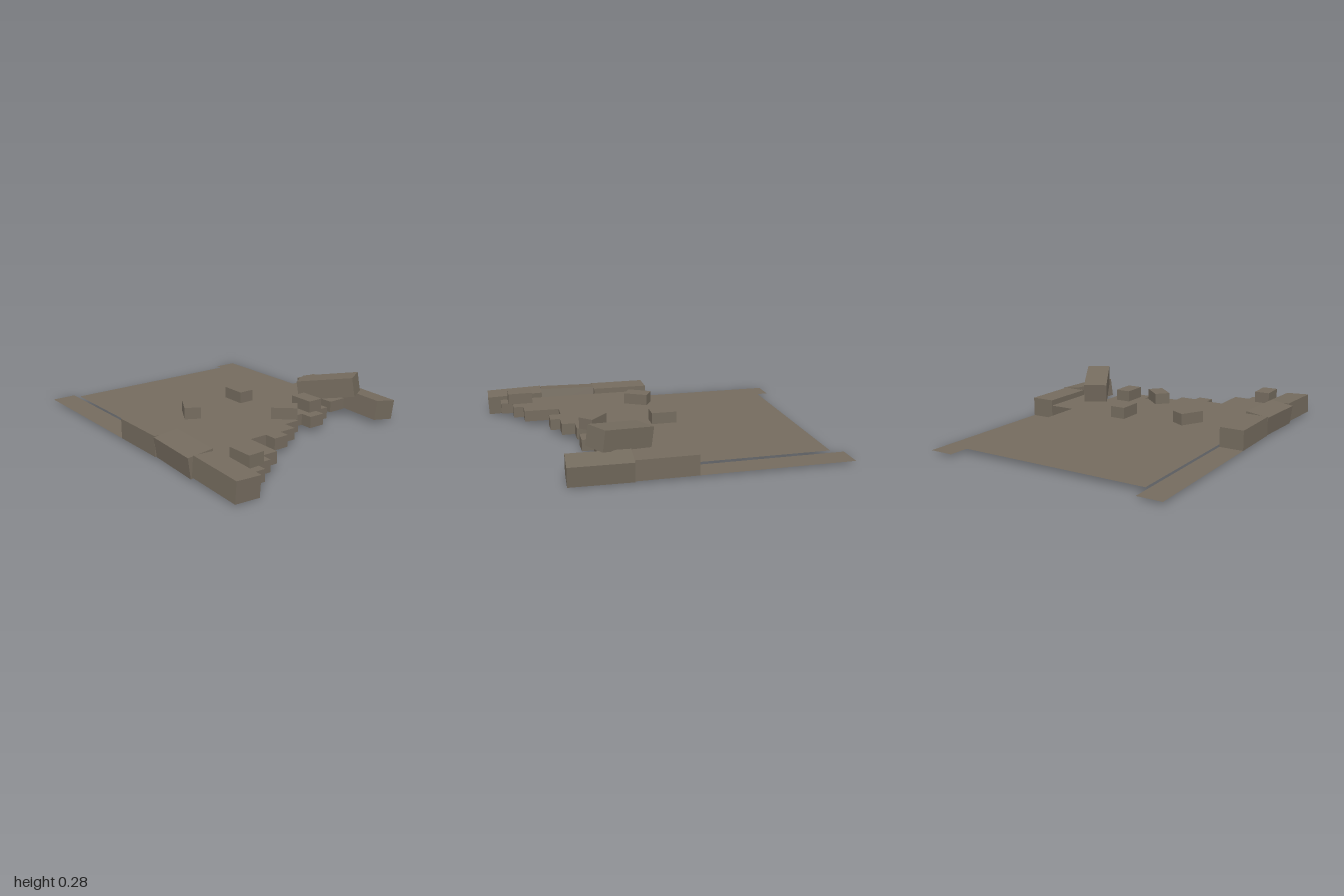
import * as THREE from 'three';

const stone = new THREE.MeshStandardMaterial({ color: 0x746b5e, side: THREE.DoubleSide });
stone.name = 'weathered stone';

const BREAK_X = -0.08; // where the thick ruined part begins

export function createModel() {
  const root = new THREE.Group();
  root.name = 'ruinedFloor';

  const add = (name, geometry, pos = [0, 0, 0], rot = [0, 0, 0]) => {
    const mesh = new THREE.Mesh(geometry, stone);
    mesh.name = name;
    mesh.position.set(...pos);
    mesh.rotation.set(...rot, 'YZX');
    root.add(mesh);
  };

  // Thin sheet lying flat between two x and two z limits
  const sheet = (name, x0, x1, z0, z1, y) =>
    add(name, new THREE.PlaneGeometry(x1 - x0, z1 - z0).rotateX(-Math.PI / 2),
      [(x0 + x1) / 2, y, (z0 + z1) / 2]);

  // Floor slab with a broken brick edge: [x of the edge, z where the row ends]
  const rows = [
    [0.92, 0.52], [0.845, 0.42], [0.78, 0.32], [0.56, 0.21], [0.635, 0.115], [0.575, 0.01],
    [0.495, -0.09], [0.42, -0.19], [0.495, -0.295], [0.425, -0.395], [0.26, -0.49], [0.36, -0.61],
  ];
  const outline = [new THREE.Vector2(BREAK_X, 0.61), new THREE.Vector2(BREAK_X, -0.61)];
  let z = 0.61;
  for (const [x, zEnd] of rows) {
    outline.push(new THREE.Vector2(x, -z), new THREE.Vector2(x, -zEnd));
    z = zEnd;
  }
  const slab = new THREE.ExtrudeGeometry(new THREE.Shape(outline), { depth: 0.07, bevelEnabled: false })
    .rotateX(-Math.PI / 2);
  // The slab is open on the side that meets the thin floor
  const normal = slab.attributes.normal;
  const keep = [];
  for (let i = 0; i < normal.count; i += 3) {
    if (normal.getX(i) > -0.9) keep.push(i, i + 1, i + 2);
  }
  slab.clearGroups();
  slab.setIndex(keep);
  add('brokenFloorSlab', slab, [0, 0.03, 0]);
  sheet('thinFloor', -0.91, BREAK_X, -0.61, 0.61, 0.03);

  // Curbs along both sides: a thin strip, then one firm block
  for (const side of [1, -1]) {
    const prefix = side > 0 ? 'front' : 'back';
    const zs = [0.61 * side, 0.76 * side].sort((a, b) => a - b);
    sheet(prefix + 'CurbStrip', -1, BREAK_X, ...zs, 0.015);
    add(prefix + 'CurbBlock', new THREE.BoxGeometry(0.36, 0.12, 0.15), [0.1, 0.075, 0.685 * side]);
  }

  // Curb blocks knocked out of line, one of them fallen onto the floor
  const loose = [
    ['shiftedFrontCurb', [0.46, 0.08, 0.693], [0.13, -0.06, 0]],
    ['endFrontCurb', [0.82, 0.071, 0.688], [-0.05, -0.01, -0.035]],
    ['shiftedBackCurb', [0.455, 0.081, -0.691], [-0.15, -0.05, -0.01]],
    ['fallenCurb', [0.31, 0.188, -0.515], [0, 0.53, 0.17]],
  ];
  for (const [name, pos, rot] of loose) {
    add(name, new THREE.BoxGeometry(0.36, 0.12, 0.15), pos, rot);
  }

  // Small bricks scattered on the slab: x, z, turn
  const bricks = [
    [-0.04, -0.07, 0], [0.357, -0.285, 0], [0.395, -0.07, 0.83], [0.03, 0.345, -0.5], [0.795, 0.537, 0.03],
  ];
  bricks.forEach(([x, bz, turn], i) =>
    add('looseBrick' + (i + 1), new THREE.BoxGeometry(0.155, 0.07, 0.097), [x, 0.136, bz], [0, turn, 0]));

  return root;
}
